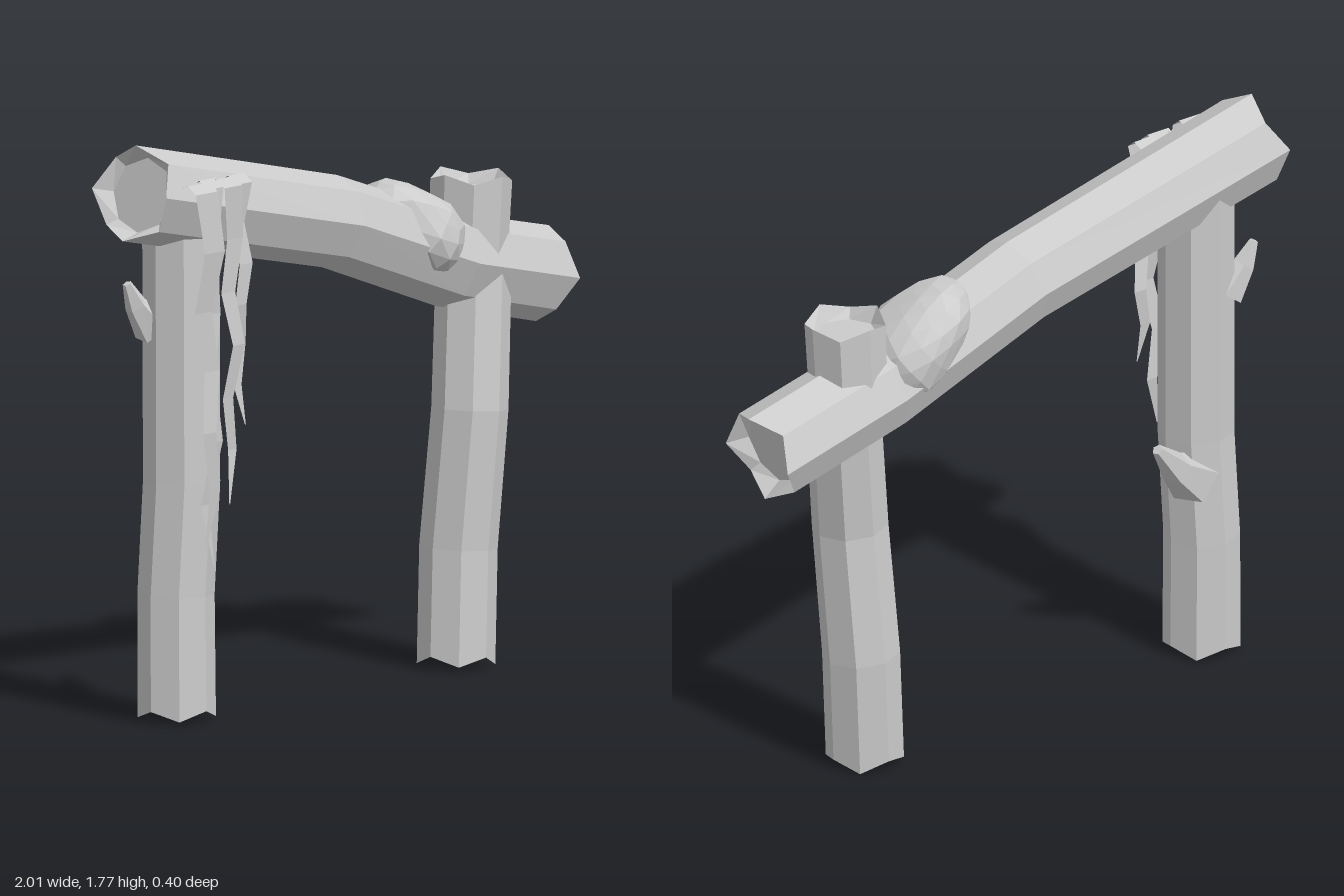
import * as THREE from 'three';

const SIDES = 8;

// Flat-shaded grid surface from equal-length rows of Vector3
function skin(rows) {
  const pos = [];
  const tri = (...v) => {
    const n = new THREE.Vector3().subVectors(v[1], v[0]).cross(new THREE.Vector3().subVectors(v[2], v[0]));
    if (n.lengthSq() > 1e-14) v.forEach(p => pos.push(p.x, p.y, p.z));
  };
  for (let i = 0; i + 1 < rows.length; i++) {
    for (let k = 0; k + 1 < rows[i].length; k++) {
      const a = rows[i][k], b = rows[i][k + 1], c = rows[i + 1][k + 1], d = rows[i + 1][k];
      tri(a, b, c);
      tri(a, c, d);
    }
  }
  const g = new THREE.BufferGeometry();
  g.setAttribute('position', new THREE.Float32BufferAttribute(pos, 3));
  g.computeVertexNormals();
  return g;
}

// Log along a path of [x, y, z, radius], with zigzag rims and hollowed ends
function log(path, ref, { jag = 0, hollow = 0, sides = SIDES } = {}) {
  const pts = path.map(p => new THREE.Vector3(p[0], p[1], p[2]));
  const last = pts.length - 1;
  const ring = (i, scale, shift, zig) => {
    const t = pts[Math.min(i + 1, last)].clone().sub(pts[Math.max(i - 1, 0)]).normalize();
    const n1 = ref.clone().addScaledVector(t, -ref.dot(t)).normalize();
    const n2 = t.clone().cross(n1);
    const r = path[i][3] * scale;
    return Array.from({ length: sides + 1 }, (_, k) => {
      const a = (k % sides) / sides * Math.PI * 2;
      return pts[i].clone()
        .addScaledVector(n1, r * Math.cos(a))
        .addScaledVector(n2, r * Math.sin(a))
        .addScaledVector(t, shift + (k % 2 ? -zig : zig));
    });
  };
  const rows = [ring(0, 0, hollow, 0), ring(0, hollow ? 0.78 : 1, hollow, 0)];
  pts.forEach((_, i) => rows.push(ring(i, 1, 0, i === 0 ? jag * (ref.y ? -1 : 1) : i === last ? jag : 0)));
  rows.push(ring(last, hollow ? 0.78 : 1, -hollow, 0), ring(last, 0, -hollow, 0));
  return skin(rows);
}

// Hanging strip through [x, y, z, width]
function ribbon(path) {
  return skin(path.map(([x, y, z, w]) => [
    new THREE.Vector3(x + w / 2, y, z), new THREE.Vector3(x - w / 2, y, z),
  ].reverse()).reverse());
}

export function createModel() {
  const group = new THREE.Group();
  const wood = new THREE.MeshStandardMaterial({ color: 0xcccccc, side: THREE.DoubleSide });
  wood.name = 'pale grey';
  const add = (name, geometry) => {
    const mesh = new THREE.Mesh(geometry, wood);
    mesh.name = name;
    group.add(mesh);
    return mesh;
  };
  const up = new THREE.Vector3(0, 1, 0), front = new THREE.Vector3(0, 0, 1);

  // Sloping top beam
  add('beam', log([
    [-0.955, 1.62, -0.005, 0.145], [-0.04, 1.42, -0.02, 0.14],
    [0.5, 1.235, -0.035, 0.143], [0.95, 1.135, -0.05, 0.145],
  ], up, { jag: 0.02, hollow: 0.045 }));

  // Two bent posts
  add('rightPost', log([
    [-0.745, 0.02, -0.015, 0.118], [-0.742, 0.38, -0.02, 0.116],
    [-0.728, 0.72, -0.01, 0.116], [-0.72, 1.52, -0.02, 0.116],
  ], front, { jag: 0.014, hollow: 0.04 }));
  add('leftPost', log([
    [0.53, 0.02, -0.012, 0.118], [0.55, 0.36, -0.02, 0.118],
    [0.57, 0.78, 0.008, 0.116], [0.62, 1.22, -0.02, 0.114],
  ], front, { jag: 0.014, hollow: 0.04 }));

  // Hollow branch stub above the left post
  add('branchStub', log([
    [0.605, 1.2, -0.03, 0.118], [0.615, 1.475, -0.025, 0.123],
  ], front, { jag: 0.012, hollow: 0.04 }));

  // Broken twigs on the right post
  add('innerTwig', log([
    [-0.68, 0.59, -0.06, 0.085], [-0.59, 0.66, -0.09, 0.05], [-0.5, 0.757, -0.115, 0.017],
  ], front, { sides: 5 }));
  add('outerTwig', log([
    [-0.79, 1.18, -0.07, 0.06], [-0.85, 1.26, -0.085, 0.035], [-0.885, 1.33, -0.09, 0.014],
  ], front, { sides: 5 }));

  // Lumpy growth draped over the beam
  const lump = new THREE.IcosahedronGeometry(1, 2);
  const p = lump.attributes.position;
  for (let i = 0; i < p.count; i++) {
    const x = p.getX(i), y = p.getY(i), z = p.getZ(i);
    const s = 1 + 0.05 * Math.sin(4 * x + 2 * z) + 0.04 * Math.cos(5 * z - 3 * y);
    p.setXYZ(i, x * s * 0.21, y * s * 0.125, z * s * 0.17);
  }
  lump.computeVertexNormals();
  const growth = add('growth', lump);
  growth.position.set(0.355, 1.345, -0.035);
  growth.rotation.set(0.3, 0, -0.64);

  // Ragged strips: x, width, z, tip height, sway
  const strips = [
    [-0.85, 0.1, 0.195, 0.54, 0.022],
    [-0.765, 0.075, 0.155, 0.48, -0.022],
    [-0.705, 0.08, 0.175, 0.67, 0.02],
    [-0.64, 0.075, 0.16, 0.9, -0.015],
  ];
  strips.forEach(([x, w, z, tip, sway], i) => {
    const path = [[x, 1.635, 0.09, w * 0.9], [x, 1.655, z - 0.03, w], [x, 1.63, z, w]];
    const steps = 6;
    for (let k = 1; k <= steps; k++) {
      const f = k / steps;
      path.push([
        x + (i === 0 ? 0.02 : -0.015) * f + sway * (k % 2 ? 1 : -0.6),
        1.63 + (tip - 1.63) * f,
        z + 0.012 * Math.sin(k * 1.9 + i),
        k === steps ? 0.004 : w * (1 - 0.62 * f),
      ]);
    }
    add('hangingStrip' + (i + 1), ribbon(path));
  });

  return group;
}
